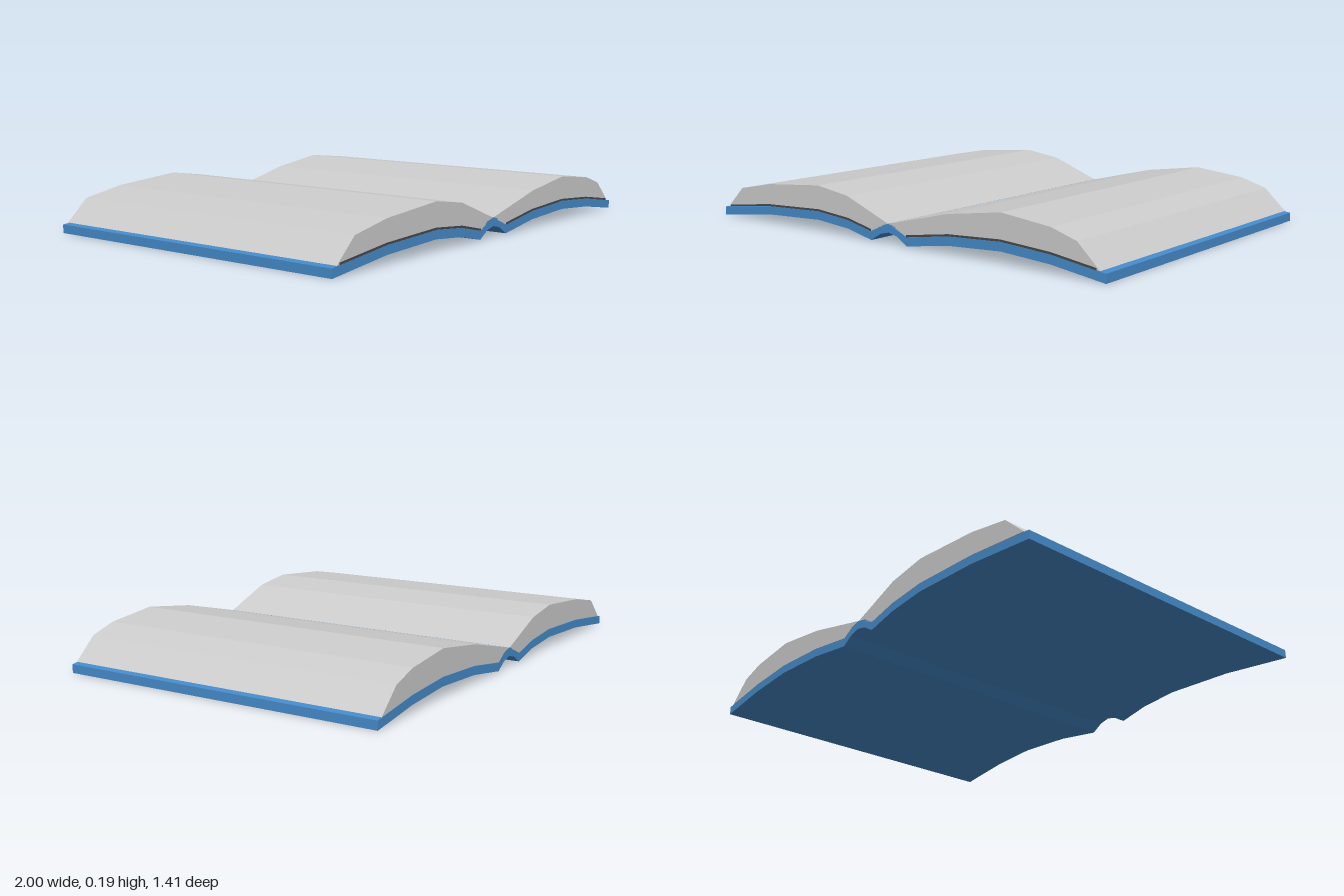
import * as THREE from 'three';

const DEPTH = 1.41;
const THICK = 0.035;

// Underside of the cover, from the right board over the raised spine to the left board
const COVER = [
  [-1, 0], [-0.7, 0.035], [-0.4, 0.048], [-0.23, 0.033], [-0.1, 0.004],
  [-0.05, 0.035], [-0.005, 0.046], [0.04, 0.035],
  [0.09, 0.004], [0.3, 0.035], [0.55, 0.048], [0.77, 0.033], [1, 0],
];
// Upper curves of the two page blocks
const PAGES_RIGHT = [[-0.975, 0.04], [-0.88, 0.13], [-0.7, 0.165], [-0.4, 0.19], [-0.23, 0.165], [-0.008, 0.08]];
const PAGES_LEFT = [[-0.008, 0.08], [0.3, 0.155], [0.55, 0.19], [0.77, 0.165], [0.88, 0.13], [0.975, 0.04]];

const raise = (points, dy) => points.map(([x, y]) => [x, y + dy]);

// Extrudes a closed cross-section along z, centred on z
function slab(name, points, material, depth = DEPTH, z = 0) {
  const shape = new THREE.Shape(points.map(([x, y]) => new THREE.Vector2(x, y)));
  const geometry = new THREE.ExtrudeGeometry(shape, { depth, bevelEnabled: false });
  geometry.translate(0, 0, z - depth / 2);
  const mesh = new THREE.Mesh(geometry, material);
  mesh.name = name;
  return mesh;
}

export function createModel() {
  const paper = new THREE.MeshStandardMaterial({ color: 0xcccccc });
  paper.name = 'paper grey';
  const blue = new THREE.MeshStandardMaterial({ color: 0x468ccb });
  blue.name = 'cover blue';
  const dark = new THREE.MeshStandardMaterial({ color: 0x484848 });
  dark.name = 'shadow grey';

  const book = new THREE.Group();
  book.name = 'openBook';

  // Cover with both boards and the spine in one strip
  book.add(slab('cover', [...COVER, ...raise(COVER, THICK).reverse()], blue));

  // Page blocks resting on the boards, with a thin dark seam along the front edge
  const sides = [
    ['right', PAGES_RIGHT, COVER.slice(1, 5)],
    ['left', PAGES_LEFT, COVER.slice(8, 12)],
  ];
  for (const [side, top, board] of sides) {
    const base = raise(board, THICK + 0.001);
    book.add(slab(side + 'Pages', [...base, ...[...top].reverse()], paper));

    const seam = side === 'right' ? [[-0.96, 0.041], ...base] : [...base, [0.96, 0.041]];
    const strip = [...seam, ...raise(seam, 0.008).reverse()];
    book.add(slab(side + 'Seam', strip, dark, 0.004, DEPTH / 2));
  }
  return book;
}
